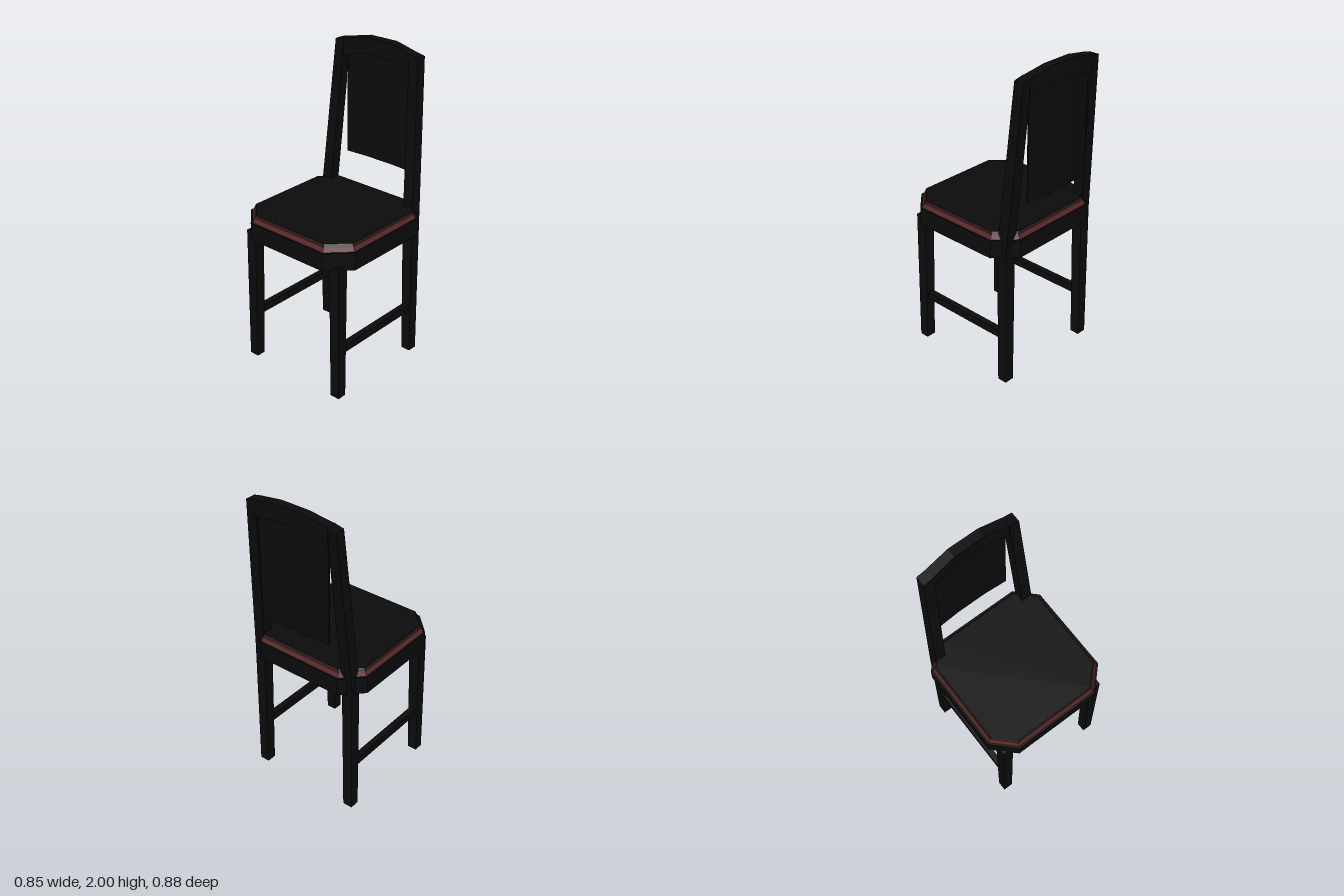
import * as THREE from 'three';

const black = new THREE.MeshStandardMaterial({ color: 0x0b0b0b });
const red = new THREE.MeshStandardMaterial({ color: 0x5a2a28 });
const darkRed = new THREE.MeshStandardMaterial({ color: 0x2c1514 });

// Solid through matching rings of [x, y, z] points, flat shaded, capped at both ends
function loft(name, rings, material = black) {
  const pos = [];
  const tri = (a, b, c) => pos.push(...a, ...b, ...c);
  const n = rings[0].length;
  for (let r = 0; r < rings.length - 1; r++) {
    const lo = rings[r], hi = rings[r + 1];
    for (let i = 0; i < n; i++) {
      const j = (i + 1) % n;
      tri(lo[i], lo[j], hi[j]);
      tri(lo[i], hi[j], hi[i]);
    }
  }
  const first = rings[0], last = rings[rings.length - 1];
  for (let i = 1; i < n - 1; i++) {
    tri(first[0], first[i + 1], first[i]);
    tri(last[0], last[i], last[i + 1]);
  }
  const geometry = new THREE.BufferGeometry();
  geometry.setAttribute('position', new THREE.Float32BufferAttribute(pos, 3));
  geometry.computeVertexNormals();
  const mesh = new THREE.Mesh(geometry, material);
  mesh.name = name;
  return mesh;
}

// Rectangular ring on one side of the chair; inner and outer are distances from x = 0
function rect(side, inner, outer, y, back, front) {
  const [x0, x1] = side > 0 ? [inner, outer] : [-outer, -inner];
  return [[x1, y, front], [x1, y, back], [x0, y, back], [x0, y, front]];
}

// Seat outline with cut corners, pulled in by an inset
function octagon(y, inset) {
  const w = 0.425 - inset, f = 0.438 - inset, b = -0.405 + inset;
  const k = inset * 0.414;
  const half = [[0.29 - k, f], [w, 0.303 - k], [w, -0.28 + k], [0.3 - k, b]];
  return [...half.map(([x, z]) => [x, y, z]), ...half.reverse().map(([x, z]) => [-x, y, z])];
}

// Top edge of the back, level in the middle and sloping to the posts
const crestY = x => 2 - Math.max(0, Math.abs(x) - 0.11) * 0.217;

// Section across a bowed back piece at one x
const section = (x, bottom, top, back, front) =>
  [[x, bottom, front], [x, bottom, back], [x, top, back], [x, top, front]];

export function createModel() {
  const chair = new THREE.Group();
  chair.name = 'chair';

  // Seat frame and bevelled cushion
  chair.add(
    loft('seatFrame', [octagon(0.877, 0), octagon(0.99, 0)]),
    loft('cushionLowerEdge', [octagon(0.99, 0.012), octagon(1.015, 0.023)], red),
    loft('cushionUpperEdge', [octagon(1.015, 0.023), octagon(1.032, 0.031)], darkRed),
    loft('cushionTop', [octagon(1.032, 0.031), octagon(1.035, 0.034)]),
  );

  for (const side of [1, -1]) {
    const label = side > 0 ? 'left' : 'right';

    // Tapered front leg
    chair.add(loft(label + 'FrontLeg', [
      rect(side, 0.317, 0.382, 0, 0.337, 0.398),
      rect(side, 0.302, 0.375, 0.9, 0.318, 0.391),
    ]));

    // Back leg continuing up as a leaning post with a sloped top
    const top = rect(side, 0.25, 0.317, 0, -0.43, -0.365).map(([x, , z]) => [x, crestY(x), z]);
    chair.add(loft(label + 'BackPost', [
      rect(side, 0.317, 0.382, 0, -0.365, -0.302),
      rect(side, 0.302, 0.375, 0.93, -0.362, -0.291),
      top,
    ]));

    // Side stretcher
    const stretcher = new THREE.Mesh(new THREE.BoxGeometry(0.04, 0.05, 0.66), black);
    stretcher.name = label + 'Stretcher';
    stretcher.position.set(side * 0.345, 0.32, 0.018);
    chair.add(stretcher);
  }

  // Bowed crest rail between the posts
  chair.add(loft('crestRail', [-0.26, -0.1, 0.1, 0.26].map(x => {
    const mid = Math.abs(x) < 0.2;
    return section(x, mid ? 1.895 : 1.86, crestY(x), mid ? -0.444 : -0.43, mid ? -0.384 : -0.367);
  })));

  // Thin bowed back panel
  chair.add(loft('backPanel', [-0.25, -0.1, 0.1, 0.25].map(x => {
    const z = Math.abs(x) < 0.2 ? -0.422 : -0.412;
    return section(x, 1.215, 1.91, z, z + 0.01);
  })));

  return chair;
}
